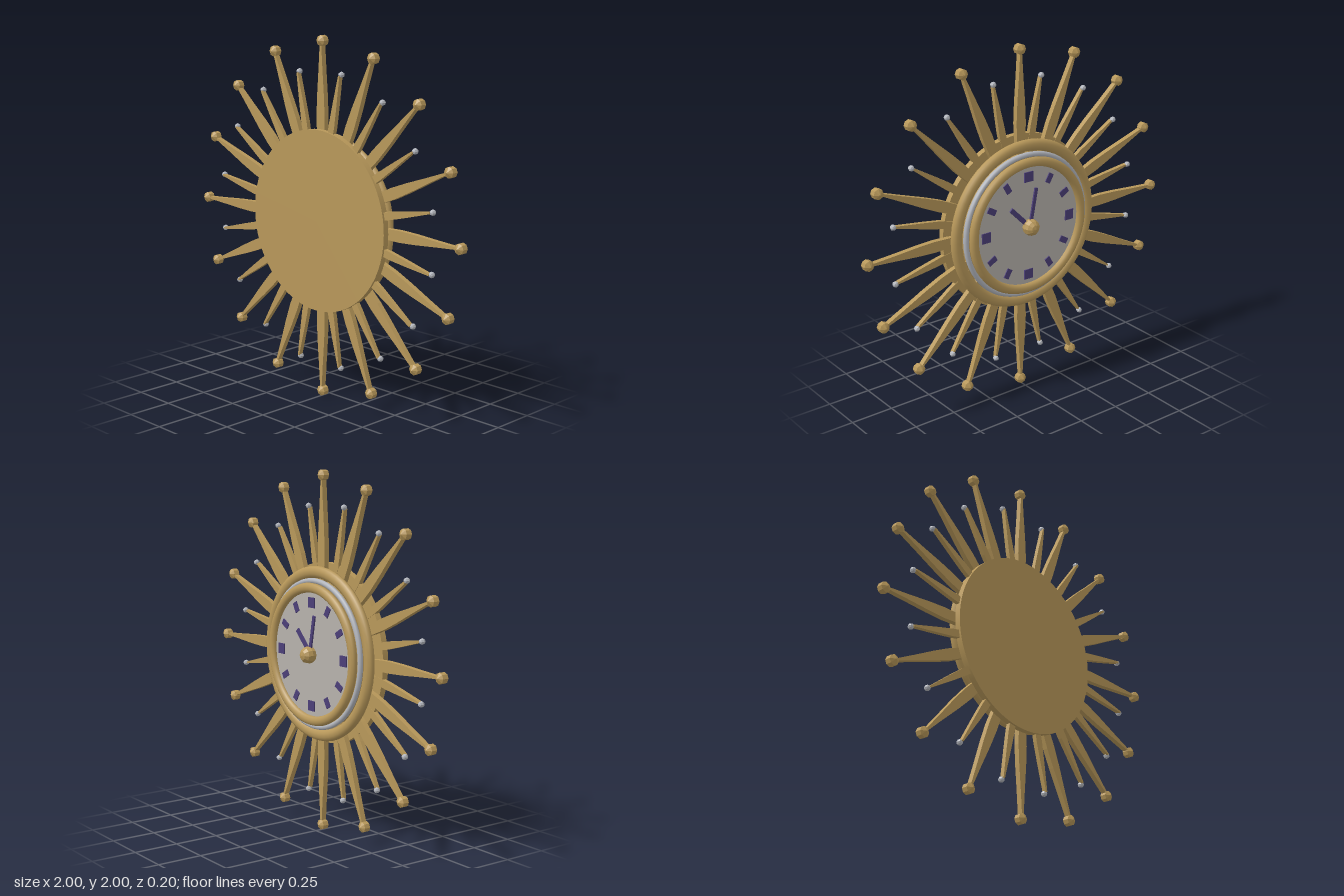
import * as THREE from 'three';

const mat = (name, color, flatShading = false) => {
  const m = new THREE.MeshStandardMaterial({ color, flatShading });
  m.name = name;
  return m;
};

export function createModel() {
  const root = new THREE.Group();
  root.name = 'sunburstClock';
  const clock = new THREE.Group();
  clock.name = 'clock';
  clock.position.y = 1;
  root.add(clock);

  const gold = mat('gold', 0xb8985a);
  const silver = mat('silver', 0xb2b5bc);
  const dialGrey = mat('dialGrey', 0xb6b2ac);
  const navy = mat('navy', 0x4c3f78);

  const add = (name, geo, material, x = 0, y = 0, z = 0, turn = 0) => {
    const mesh = new THREE.Mesh(geo, material);
    mesh.name = name;
    mesh.position.set(x, y, z);
    mesh.rotation.z = turn;
    clock.add(mesh);
    return mesh;
  };
  // Disc whose axis runs along z between z0 and z1
  const disc = (name, r, z0, z1, material) =>
    add(name, new THREE.CylinderGeometry(r, r, z1 - z0, 64).rotateX(Math.PI / 2), material, 0, 0, (z0 + z1) / 2);
  const ring = (name, r, tube, z, squash, material) =>
    add(name, new THREE.TorusGeometry(r, tube, 10, 64).scale(1, 1, squash), material, 0, 0, z);
  // Faceted ball with its poles along z
  const ball = (r, sides, rows) =>
    new THREE.SphereGeometry(r, sides, rows).rotateX(Math.PI / 2).toNonIndexed();
  const facet = (geo) => { geo.computeVertexNormals(); return geo; };

  // Flat spindle pointing up, given as [radius, half width] pairs
  const spindle = (profile, depth) => {
    const right = profile.map(([r, w]) => new THREE.Vector2(w, r));
    const left = profile.map(([r, w]) => new THREE.Vector2(-w, r)).reverse();
    return new THREE.ExtrudeGeometry(new THREE.Shape([...right, ...left]), { depth, bevelEnabled: false });
  };

  // Rays with beads at the tips
  const longRay = spindle([[0.38, 0.019], [0.48, 0.028], [0.57, 0.031], [0.68, 0.026], [0.82, 0.015], [0.955, 0.006]], 0.03);
  const shortRay = spindle([[0.38, 0.014], [0.47, 0.02], [0.54, 0.021], [0.64, 0.016], [0.81, 0.005]], 0.025);
  const bigBead = facet(ball(0.034, 8, 3));
  const smallBead = facet(ball(0.017, 8, 4));
  for (let i = 0; i < 16; i++) {
    const a = (i * Math.PI) / 8;
    const b = a + Math.PI / 16;
    add('longRay', longRay, gold, 0, 0, 0.036, -a);
    add('longRayBead', bigBead, gold, 0.97 * Math.sin(a), 0.97 * Math.cos(a), 0.05);
    add('shortRay', shortRay, gold, 0, 0, 0.063, -b);
    add('shortRayBead', smallBead, silver, 0.816 * Math.sin(b), 0.816 * Math.cos(b), 0.068);
  }

  // Mounting plate and case
  disc('backPlate', 0.5, 0.065, 0.1, gold);
  disc('caseBody', 0.395, -0.015, 0.065, gold);
  ring('outerBezel', 0.449, 0.033, 0.013, 0.8, gold);
  ring('silverBezel', 0.402, 0.015, -0.007, 1, silver);
  ring('innerBezel', 0.366, 0.027, -0.03, 0.85, gold);

  // Dial, facing -z
  disc('dial', 0.36, -0.026, -0.015, dialGrey);
  for (let i = 0; i < 12; i++) {
    const a = (i * Math.PI) / 6;
    const geo = new THREE.BoxGeometry(i % 3 ? 0.034 : 0.058, 0.056, 0.008);
    add('hourMarker', geo, navy, 0.285 * Math.sin(a), 0.285 * Math.cos(a), -0.028, -a);
  }

  // Hands, pivoting at the centre
  const hand = (name, width, length, turn, z) =>
    add(name, new THREE.BoxGeometry(width, length, 0.009).translate(0, length / 2, 0), navy, 0, 0, z, turn);
  hand('hourHand', 0.026, 0.175, -Math.PI / 4, -0.034);
  hand('minuteHand', 0.02, 0.22, 0.19, -0.042);
  add('centreCap', facet(ball(0.048, 10, 6)), gold, 0, 0, -0.05);

  return root;
}
